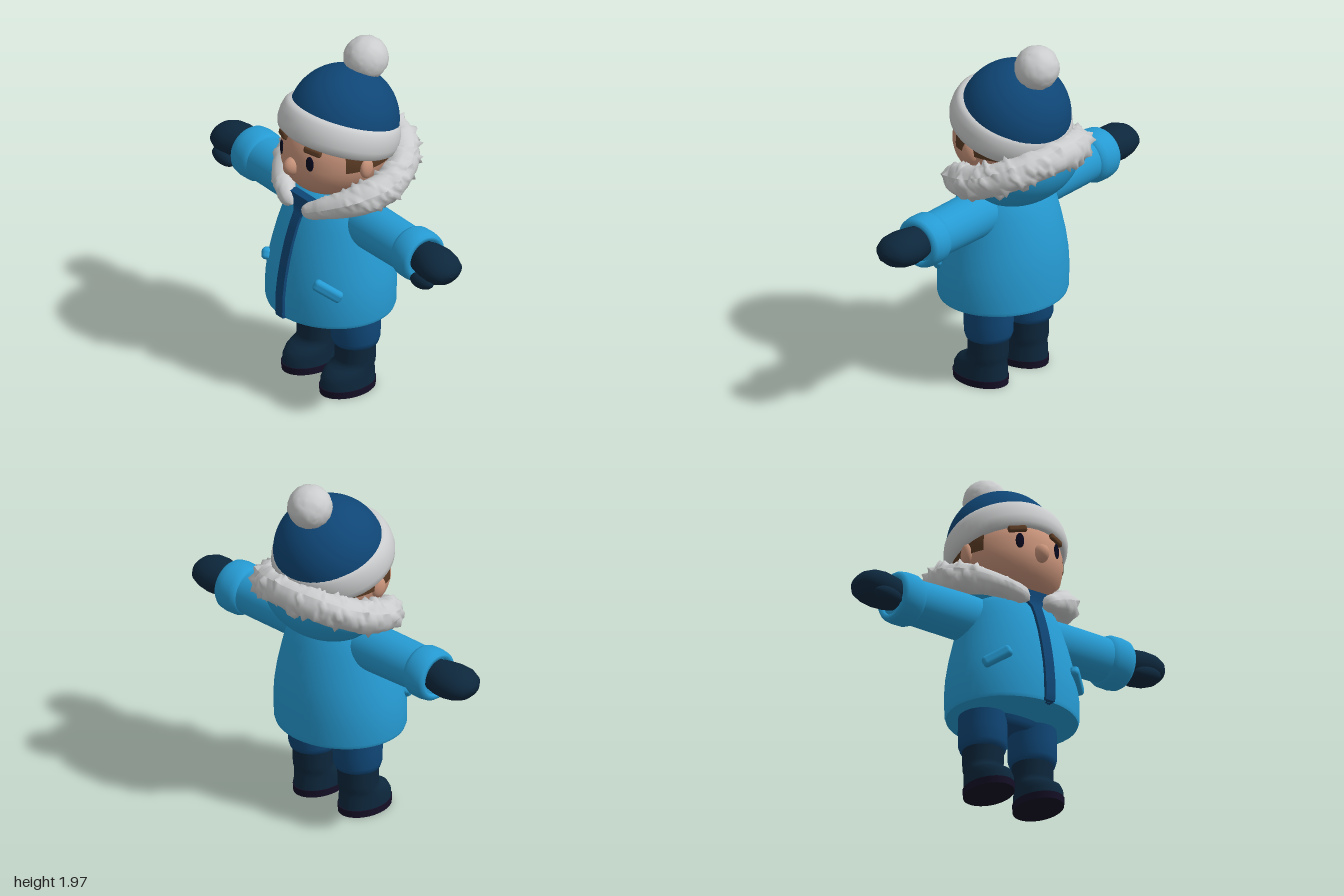
import * as THREE from 'three';
import { mergeVertices } from 'three/addons/utils/BufferGeometryUtils.js';
import { RoundedBoxGeometry } from 'three/addons/geometries/RoundedBoxGeometry.js';

const paint = (name, color, side = THREE.FrontSide) => {
  const m = new THREE.MeshStandardMaterial({ color, side });
  m.name = name;
  return m;
};

// Repeatable pseudo-random value in 0..1
const hash = (a, b) => {
  const s = Math.sin(a * 127.1 + b * 311.7) * 43758.5453;
  return s - Math.floor(s);
};

// Closed solid from elliptical rings [y, rx, rz, cz]; a repeated ring makes a sharp edge
function loft(rings, seg = 40) {
  const first = rings[0], last = rings[rings.length - 1];
  const all = [[first[0], 0, 0, first[3]], first, ...rings, last, [last[0], 0, 0, last[3]]];
  const pos = [], index = [];
  all.forEach(([y, rx, rz, cz = 0], i) => {
    for (let j = 0; j < seg; j++) {
      const a = (j / seg) * Math.PI * 2;
      pos.push(rx * Math.sin(a), y, cz + rz * Math.cos(a));
      if (i === all.length - 1) continue;
      const p = i * seg + j, q = i * seg + (j + 1) % seg;
      index.push(p, q, q + seg, p, q + seg, p + seg);
    }
  });
  const g = new THREE.BufferGeometry();
  g.setAttribute('position', new THREE.Float32BufferAttribute(pos, 3));
  g.setIndex(index);
  g.computeVertexNormals();
  return g;
}

// Move every vertex by a rule
function reshape(g, rule) {
  const p = g.attributes.position, v = new THREE.Vector3();
  for (let i = 0; i < p.count; i++) {
    rule(v.fromBufferAttribute(p, i), i);
    p.setXYZ(i, v.x, v.y, v.z);
  }
  g.computeVertexNormals();
  return g;
}

const ball = (rx, ry, rz) => new THREE.SphereGeometry(1, 36, 24).scale(rx, ry, rz);

export function createModel() {
  const model = new THREE.Group();
  model.name = 'winterChild';
  const jacket = paint('jacketBlue', 0x269bd3, THREE.DoubleSide);
  const blue = paint('deepBlue', 0x0f4676);
  const navy = paint('navy', 0x0d273c);
  const fur = paint('furWhite', 0xcbcccd);
  const skin = paint('skin', 0xc8937a);
  const brown = paint('hairBrown', 0x5a3b24, THREE.DoubleSide);
  const dark = paint('eyeDark', 0x08081f);
  const sole = paint('soleDark', 0x150f26);

  const add = (name, geo, mat, p = [0, 0, 0], r = [0, 0, 0], parent = model) => {
    const m = new THREE.Mesh(geo, mat);
    m.name = name;
    m.position.set(...p);
    m.rotation.set(...r);
    parent.add(m);
    return m;
  };

  // Coat body
  const coat = [
    [0.47, 0.362, 0.33, 0.075], [0.49, 0.37, 0.335, 0.075], [0.6, 0.373, 0.335, 0.073],
    [0.7, 0.362, 0.328, 0.068], [0.8, 0.342, 0.313, 0.063], [0.9, 0.318, 0.29, 0.06],
    [1.0, 0.292, 0.26, 0.055], [1.08, 0.265, 0.225, 0.053], [1.13, 0.225, 0.195, 0.05],
    [1.16, 0.16, 0.14, 0.05],
  ];
  add('coatBody', loft(coat, 56), jacket);

  // Zip strip follows the coat front and widens into the collar
  const coatFront = y => {
    const i = Math.max(1, coat.findIndex(r => r[0] >= y));
    const [a, b] = [coat[i - 1], coat[i]];
    return THREE.MathUtils.lerp(a[2] + a[3], b[2] + b[3], (y - a[0]) / (b[0] - a[0]));
  };
  add('zipStrip', reshape(new THREE.BoxGeometry(1, 1, 1, 4, 28, 1), v => {
    const y = 0.47 + (v.y + 0.5) * 0.69;
    const w = 0.03 + Math.max(0, y - 1.06) * 0.6;
    v.set(v.x * 2 * w, y, coatFront(Math.min(y, 1.09)) - 0.008 + v.z * 0.05);
  }), blue);

  // Hood bag behind the neck
  add('hoodBag', new THREE.SphereGeometry(1, 40, 20, 0, Math.PI * 2, Math.PI / 2, Math.PI / 2)
    .scale(0.33, 0.24, 0.32), jacket, [0, 1.27, -0.05], [0.42, 0, 0]);

  // Fur trim: open loop with lumps and sparse tufts
  const half = [[0.045, 1.09, 0.3], [0.11, 1.12, 0.285], [0.21, 1.165, 0.225], [0.3, 1.21, 0.12],
    [0.335, 1.25, -0.03], [0.28, 1.31, -0.18], [0.15, 1.36, -0.28]];
  const loop = new THREE.CatmullRomCurve3([
    ...half, [0, 1.375, -0.31], ...half.slice().reverse().map(([x, y, z]) => [-x, y, z]),
  ].map(p => new THREE.Vector3(...p)));
  const along = 130, around = 20;
  const trim = new THREE.TubeGeometry(loop, along, 1, around);
  add('furTrim', reshape(trim, (v, n) => {
    const i = Math.floor(n / (around + 1)), j = (n % (around + 1)) % around;
    const c = loop.getPointAt(i / along), end = Math.min(i, along - i) / along;
    const grow = Math.min(1, end / 0.2);
    let r = (0.04 + 0.047 * grow) * Math.sqrt(Math.min(1, end / 0.02));
    r *= 0.95 + 0.12 * hash(i >> 2, j >> 1) + (hash(i, j + 50) > 0.93 ? 0.28 * grow : 0);
    v.sub(c).multiplyScalar(r).add(c);
  }), fur);

  // Head with a full chin
  add('head', reshape(ball(0.29, 0.26, 0.31), v => {
    if (v.y < 0) v.z -= v.y * 0.17;
  }), skin, [0, 1.4, 0.03]);
  add('nose', ball(0.042, 0.052, 0.055), skin, [0, 1.36, 0.335]);
  add('hair', new THREE.SphereGeometry(1, 40, 12, Math.PI / 2 + 1.08, Math.PI * 2 - 2.16, 0.8, 0.88)
    .scale(0.298, 0.267, 0.318), brown, [0, 1.4, 0.03]);

  // Hat, tilted back
  const hat = new THREE.Group();
  hat.name = 'hat';
  hat.position.set(0, 1.5, 0.015);
  hat.rotation.x = -0.32;
  model.add(hat);
  add('hatCrown', new THREE.SphereGeometry(0.3, 48, 20, 0, Math.PI * 2, 0, Math.PI * 0.55),
    blue, [0, 0.035, -0.015], [0, 0, 0], hat);
  add('hatBand', loft([[-0.082, 0.27], [-0.085, 0.3], [-0.07, 0.322], [-0.03, 0.333], [0.02, 0.331],
    [0.06, 0.32], [0.082, 0.304], [0.087, 0.28]].map(([y, r]) => [y, r, r, 0]), 56),
    fur, [0, 0, 0], [0, 0, 0], hat);
  const puff = new THREE.IcosahedronGeometry(0.119, 7);
  puff.deleteAttribute('uv');
  puff.deleteAttribute('normal');
  add('pompom', reshape(mergeVertices(puff, 1e-4), (v, i) => {
    v.multiplyScalar(0.985 + 0.045 * hash(i, 3));
  }), fur, [0, 1.847, -0.163]);

  // Hips
  add('hips', loft([[0.43, 0.15, 0.1, 0.035], [0.45, 0.24, 0.13, 0.035], [0.56, 0.28, 0.14, 0.035]]), blue);

  for (const [side, s] of [['left', 1], ['right', -1]]) {
    // Face details
    add(side + 'Eye', ball(0.023, 0.044, 0.009), dark, [s * 0.12, 1.415, 0.312], [0, s * 0.42, 0]);
    add(side + 'Eyebrow', new RoundedBoxGeometry(0.105, 0.038, 0.03, 3, 0.013), brown,
      [s * 0.125, 1.487, 0.296], [-0.2, s * 0.42, -s * 0.06]);
    add(side + 'Ear', ball(0.028, 0.06, 0.045), skin, [s * 0.287, 1.38, 0.06], [0, s * 0.2, 0]);

    // Sleeve, cuff and mitten, lofted outward along the arm
    const turn = [0, 0, -s * Math.PI / 2];
    add(side + 'Sleeve', loft([[0.1, 0.12, 0.12, 0.035], [0.3, 0.13, 0.125, 0.035],
      [0.5, 0.127, 0.124, 0.035], [0.7, 0.122, 0.122, 0.035]]), jacket, [0, 1.02, 0], turn);
    add(side + 'Cuff', loft([[0.612, 0.118, 0.118, 0.03], [0.62, 0.132, 0.13, 0.03],
      [0.645, 0.143, 0.141, 0.03], [0.7, 0.144, 0.144, 0.03], [0.74, 0.138, 0.138, 0.03],
      [0.758, 0.125, 0.125, 0.03], [0.758, 0.105, 0.105, 0.03], [0.74, 0.1, 0.1, 0.03]]),
    jacket, [0, 1.022, 0], turn);
    add(side + 'Mitten', loft([[0.73, 0.085, 0.09, 0.03], [0.79, 0.094, 0.105, 0.03],
      [0.85, 0.095, 0.118, 0.035], [0.91, 0.088, 0.115, 0.04], [0.96, 0.068, 0.095, 0.04],
      [0.987, 0.043, 0.062, 0.04], [1.0, 0.012, 0.02, 0.04]]), navy, [0, 1.032, 0], turn);
    add(side + 'Thumb', ball(0.085, 0.042, 0.045), navy, [s * 0.85, 0.965, 0.128], [0, 0, s * 0.12]);

    // Pocket flap
    add(side + 'Pocket', new RoundedBoxGeometry(0.17, 0.065, 0.05, 4, 0.022), jacket,
      [s * 0.262, 0.7, 0.302], [-0.1, s * 0.75, -s * 0.42]);

    // Trouser leg and boot
    add(side + 'TrouserLeg', loft([[0.262, 0.105, 0.105, 0.035], [0.27, 0.121, 0.123, 0.035],
      [0.3, 0.129, 0.134, 0.035], [0.38, 0.13, 0.137, 0.035], [0.52, 0.124, 0.135, 0.035]]),
    blue, [s * 0.163, 0, 0]);
    add(side + 'Boot', loft([[0.035, 0.118, 0.163, 0.09], [0.08, 0.117, 0.16, 0.089],
      [0.115, 0.114, 0.148, 0.08], [0.138, 0.111, 0.128, 0.062], [0.152, 0.11, 0.112, 0.042],
      [0.18, 0.11, 0.11, 0.038], [0.29, 0.112, 0.112, 0.038]]), navy, [s * 0.163, 0, 0]);
    add(side + 'Sole', loft([[0, 0.119, 0.166, 0.09], [0, 0.119, 0.166, 0.09],
      [0.04, 0.122, 0.168, 0.09], [0.04, 0.122, 0.168, 0.09]]), sole, [s * 0.163, 0, 0]);
  }
  return model;
}
